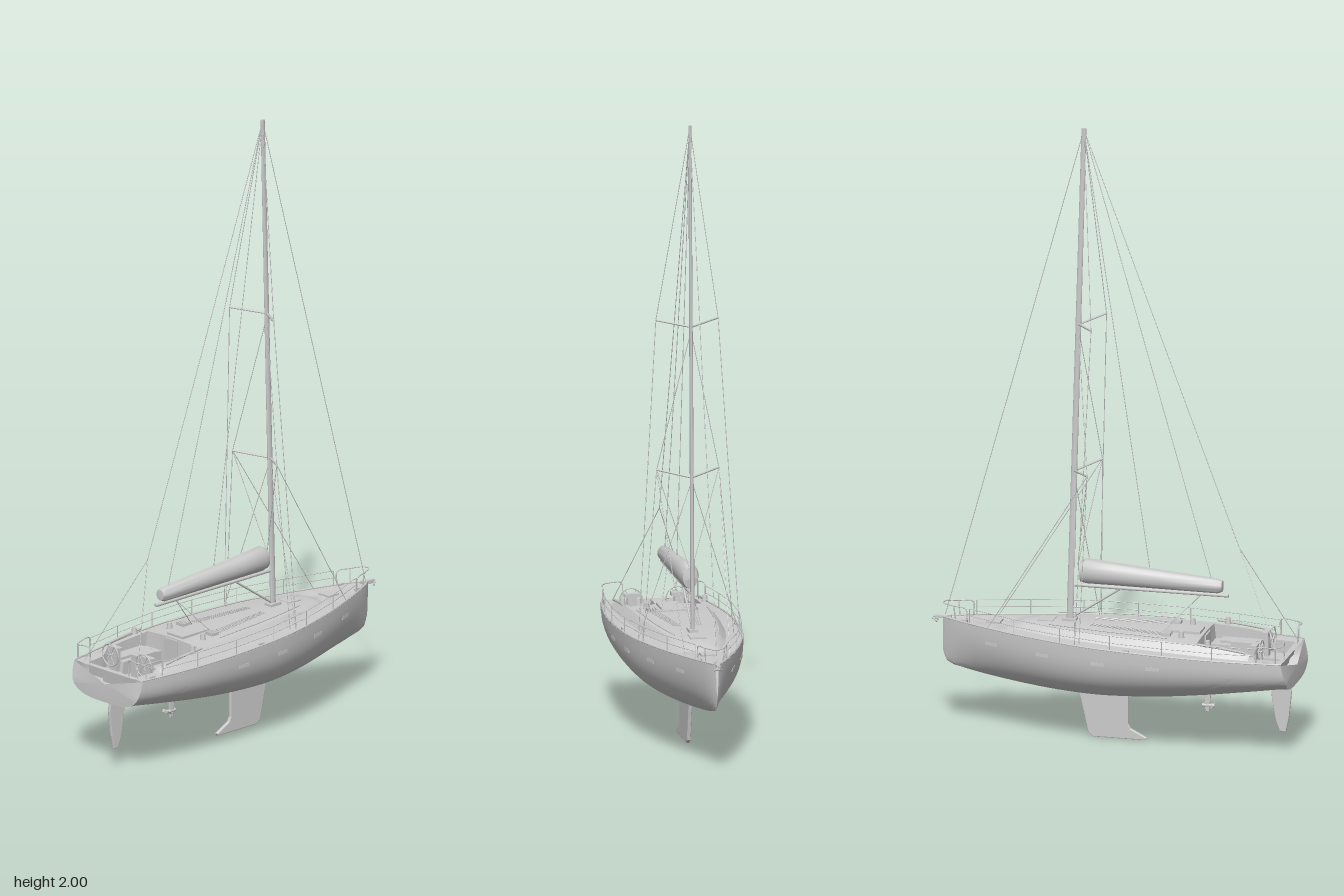
import * as THREE from 'three';
import { toCreasedNormals } from 'three/addons/utils/BufferGeometryUtils.js';

const grey = new THREE.MeshStandardMaterial({ color: 0xcccccc });
const sheet = new THREE.MeshStandardMaterial({ color: 0xcccccc, side: THREE.DoubleSide });
const V = (x, y, z) => new THREE.Vector3(x, y, z);
const lerp = THREE.MathUtils.lerp;

// Sample column c of rows sorted by z (column 0), smoothly or linearly
function sample(rows, c, z, smooth = true) {
  let i = 0;
  while (i < rows.length - 2 && rows[i + 1][0] <= z) i++;
  const slope = k => {
    const a = rows[Math.max(k - 1, 0)], b = rows[Math.min(k + 1, rows.length - 1)];
    return (b[c] - a[c]) / (b[0] - a[0]);
  };
  const a = rows[i], b = rows[i + 1], h = b[0] - a[0];
  const t = THREE.MathUtils.clamp((z - a[0]) / h, 0, 1);
  if (!smooth) return lerp(a[c], b[c], t);
  const t2 = t * t, t3 = t2 * t;
  return (2 * t3 - 3 * t2 + 1) * a[c] + (t3 - 2 * t2 + t) * h * slope(i)
    + (3 * t2 - 2 * t3) * b[c] + (t3 - t2) * h * slope(i + 1);
}

// Skin a list of equal-length cross-sections
function loft(sections, crease = 0.6) {
  const n = sections[0].length, idx = [];
  for (let i = 0; i < sections.length - 1; i++)
    for (let j = 0; j < n - 1; j++) {
      const a = i * n + j, b = a + n;
      idx.push(a, b, b + 1, a, b + 1, a + 1);
    }
  const g = new THREE.BufferGeometry().setFromPoints(sections.flat());
  g.setIndex(idx);
  return toCreasedNormals(g, crease);
}

// Hull lines: z, half beam, sheer height, keel height, section exponents p and q
const LINES = [
  [-0.558, 0.004, 0.357, 0.25, 1.5, 2], [-0.545, 0.014, 0.357, 0.215, 1.4, 2],
  [-0.5, 0.038, 0.356, 0.198, 1.4, 2], [-0.4, 0.08, 0.353, 0.177, 1.5, 2.2],
  [-0.3, 0.117, 0.35, 0.163, 1.7, 2.4], [-0.2, 0.148, 0.348, 0.154, 1.85, 2.6],
  [-0.1, 0.172, 0.345, 0.15, 2, 2.7], [0, 0.187, 0.342, 0.15, 2, 2.8],
  [0.15, 0.196, 0.338, 0.159, 2, 2.8], [0.3, 0.193, 0.333, 0.178, 2.2, 2.8],
  [0.45, 0.177, 0.328, 0.203, 2.6, 3], [0.577, 0.155, 0.325, 0.225, 3.2, 3.4]];
const line = (c, z) => sample(LINES, c, z);
const sheer = z => line(2, z);
const hullX = (z, y) => {
  const d = (sheer(z) - y) / (sheer(z) - line(3, z));
  return line(1, z) * Math.pow(1 - Math.pow(d, line(5, z)), 1 / line(4, z));
};

// Deck: z, cabin foot, cabin top, rise, cockpit kind (0 closed, 1 seats, 2 open sole)
const DECK = [
  [-0.558, 0.002, 0.001, 0, 0], [-0.45, 0.02, 0.015, 0, 0], [-0.34, 0.035, 0.03, 0, 0],
  [-0.325, 0.045, 0.03, 0.004, 0], [-0.29, 0.065, 0.045, 0.016, 0], [-0.22, 0.09, 0.066, 0.022, 0],
  [-0.1, 0.117, 0.094, 0.027, 0], [0, 0.132, 0.108, 0.029, 0], [0.15, 0.145, 0.12, 0.031, 0],
  [0.295, 0.15, 0.126, 0.031, 0], [0.3, 0.15, 0.126, 0.031, 1], [0.4, 0.15, 0.13, 0.025, 1],
  [0.465, 0.147, 0.13, 0.018, 1], [0.47, 0.147, 0.13, 0.018, 2], [0.49, 0.14, 0.125, 0, 2],
  [0.555, 0.135, 0.12, 0, 2], [0.56, 0.135, 0.12, 0, 0], [0.577, 0.13, 0.11, 0, 0]];
const deckCol = (c, z) => sample(DECK, c, z, false);
const roofY = z => sheer(z) + deckCol(3, z) + 0.004;

function deckSection(z) {
  const hb = line(1, z), yd = sheer(z), f = deckCol(1, z), t = deckCol(2, z), top = yd + deckCol(3, z);
  const kind = DECK.filter(r => r[0] <= z + 1e-9).pop()[4];
  const cam = z < 0.5 ? Math.min(0.006, t * 0.1) : 0, seat = kind === 1 ? 0.318 : 0.285;
  const half = [[hb, yd], [f, yd + 0.002], [t, top]].concat(kind
    ? [[t - 0.012, top], [t - 0.012, seat], [0.045, seat], [0.045, 0.275], [0, 0.275]]
    : [[t * 0.9, top + cam * 0.2], [t * 0.9, top + cam * 0.2], [t * 0.4, top + cam * 0.8],
      [t * 0.4, top + cam * 0.8], [0, top + cam]]);
  return [...half.map(([x, y]) => V(-x, y, z)), ...half.slice(0, -1).reverse().map(([x, y]) => V(x, y, z))];
}

function hullSection(z) {
  const hb = line(1, z), yd = sheer(z), D = yd - line(3, z), p = line(4, z), q = line(5, z), pts = [];
  for (let j = 0; j <= 40; j++) {
    const a = Math.PI * j / 40, c = Math.cos(a), d = Math.pow(Math.abs(Math.sin(a)), 2 / q);
    const rake = z > 0.576 ? 0.015 * Math.min(1, d * 1.6) : 0;
    pts.push(V(Math.sign(c) * hb * Math.pow(Math.abs(c), 2 / p), yd - D * (j % 40 ? d : 0), z + rake));
  }
  return pts;
}

export function createModel() {
  const boat = new THREE.Group();
  boat.name = 'sailingYacht';
  const add = (name, geo, mat = grey) => {
    const m = new THREE.Mesh(geo, mat);
    m.name = name;
    boat.add(m);
    return m;
  };
  const box = (name, w, h, d, x, y, z) => {
    const m = add(name, new THREE.BoxGeometry(w, h, d));
    m.position.set(x, y, z);
    return m;
  };
  const rod = (name, a, b, r = 0.0012, sides = 6) => {
    const m = add(name, new THREE.CylinderGeometry(r, r, a.distanceTo(b), sides));
    m.position.lerpVectors(a, b, 0.5);
    m.quaternion.setFromUnitVectors(V(0, 1, 0), b.clone().sub(a).normalize());
    return m;
  };
  const wire = (name, ...pts) => pts.slice(1).forEach((p, i) => rod(name, pts[i], p));
  const pipe = (name, pts, r = 0.002) => add(name, new THREE.TubeGeometry(
    new THREE.CatmullRomCurve3(pts, false, 'centripetal'), pts.length * 6, r, 6));

  // Hull, transom and deck share the same stations
  const zs = [...DECK.map(r => r[0]), -0.552, -0.545];
  for (let i = 1; i < 48; i++) zs.push(-0.545 + i * 0.0233);
  const stations = zs.filter(z => z <= 0.577).sort((a, b) => a - b);
  add('hull', loft(stations.map(hullSection), 0.9), sheet);
  add('deckAndCockpit', loft(stations.map(deckSection)), sheet);
  const stern = hullSection(0.577);
  add('transom', loft([stern, stern.map(() => V(0, 0.285, 0.593))], 0.9), sheet);

  // Fins below the waterline, drawn as (z, y) outlines
  const fin = (name, pts, thick) => {
    const shape = new THREE.Shape(pts.map(([z, y]) => new THREE.Vector2(-z, y)));
    const g = new THREE.ExtrudeGeometry(shape, { depth: thick, bevelSize: 0.003, bevelOffset: -0.003,
      bevelThickness: 0.003, bevelSegments: 2 });
    add(name, g.translate(0, 0, -thick / 2).rotateY(Math.PI / 2));
  };
  fin('keel', [[0.045, 0.175], [0.045, 0.05], [0.052, 0.035], [0.105, 0.008], [0.1, 0], [-0.07, 0],
    [-0.085, 0.012], [-0.1, 0.08], [-0.112, 0.13], [-0.13, 0.17]], 0.006);
  fin('rudder', [[0.57, 0.24], [0.575, 0.19], [0.567, 0.11], [0.557, 0.062], [0.537, 0.062],
    [0.523, 0.1], [0.511, 0.17], [0.508, 0.24]], 0.005);
  fin('driveLeg', [[0.315, 0.2], [0.308, 0.108], [0.295, 0.108], [0.285, 0.2]], 0.003);
  rod('propellerHub', V(0, 0.13, 0.285), V(0, 0.13, 0.325), 0.006, 12);
  for (const s of [-1, 1]) box('propellerBlade', 0.018, 0.009, 0.002, s * 0.012, 0.13, 0.318).rotation.x = s * 0.5;

  // Mast, boom, sail cover and vang
  const mast = add('mast', new THREE.CylinderGeometry(0.008, 0.011, 1.632, 16));
  mast.scale.x = 0.6;
  mast.position.set(0, 1.184, -0.123);
  mast.rotation.x = 0.028;
  rod('boom', V(0, 0.495, -0.13), V(0, 0.495, 0.37), 0.006, 10);
  const cover = [[0.352, 0.525, 0.001, 0.001], [0.35, 0.525, 0.018, 0.016], [0.335, 0.525, 0.024, 0.02],
    [0.15, 0.533, 0.031, 0.025], [0, 0.54, 0.037, 0.029], [-0.09, 0.544, 0.041, 0.03],
    [-0.11, 0.541, 0.034, 0.024], [-0.116, 0.54, 0.001, 0.001]].reverse();
  add('sailCover', loft(cover.map(([z, y, ry, rx]) => Array.from({ length: 21 }, (_, j) => {
    const a = -j * Math.PI / 10;
    return V(rx * Math.cos(a), y + ry * Math.sin(a), z);
  })), 0.9), sheet);
  rod('boomVang', V(0, 0.49, 0.015), V(0, 0.385, -0.142), 0.0035, 8);

  // Standing and running rigging
  const head = V(0, 1.995, -0.1);
  wire('forestay', head, V(0, 0.357, -0.553));
  wire('backstay', head, V(0, 0.655, 0.405));
  wire('toppingLift', head, V(0, 0.545, 0.315));
  wire('lazyLine', head, V(0, 0.56, 0.115));
  for (const s of [-1, 1]) {
    const up = V(s * 0.1, 1.365, -0.052), low = V(s * 0.1, 0.885, -0.065), plate = V(s * 0.163, 0.347, -0.09);
    rod('upperSpreader', V(0, 1.353, -0.118), up, 0.004, 8).scale.x = 0.8;
    rod('lowerSpreader', V(0, 0.87, -0.132), low, 0.004, 8).scale.x = 0.8;
    wire('capShroud', head, up, plate);
    wire('middleShroud', V(0, 1.34, -0.118), low, V(s * 0.145, 0.347, -0.08));
    wire('lowerShroud', V(0, 0.86, -0.132), plate);
    wire('flagLine', low, V(s * 0.072, 0.353, -0.395));
    wire('innerLine', low, V(0, 0.56, -0.12));
    wire('backstayLeg', V(0, 0.655, 0.405), V(s * 0.12, 0.325, 0.568));
    wire('mainsheet', V(0, 0.492, 0.28), V(s * 0.04, 0.375, 0.17));
  }

  // Fittings mirrored to both sides
  for (const s of [-1, 1]) {
    const edge = (z, h = 0, inset = 0.005) => V(s * (line(1, z) - inset), sheer(z) + h, z);
    pipe('toeRail', LINES.map(r => edge(r[0], 0.002, 0.003)), 0.003);
    const posts = [-0.46, -0.3, -0.14, 0.03, 0.2, 0.36, 0.5];
    posts.forEach(z => rod('stanchion', edge(z), edge(z, 0.05), 0.0015));
    for (const h of [0.027, 0.05]) wire('lifeline', ...posts.map(z => edge(z, h)));
    pipe('sternRail', [edge(0.5), edge(0.5, 0.052), edge(0.555, 0.054), V(s * 0.135, 0.38, 0.574),
      V(s * 0.09, 0.38, 0.574), V(s * 0.088, 0.326, 0.572)]);
    rod('sternPost', edge(0.56), edge(0.56, 0.053), 0.002);

    // Cabin side window follows the slope of the coachroof
    const strip = [-0.22, -0.15, -0.1, 0, 0.1, 0.2, 0.27].map((z, i) => [0.25, 0.75].map(k => {
      const t = i === 0 || i === 6 ? 0.5 : k;
      return V(s * (lerp(deckCol(1, z), deckCol(2, z), t) + 0.001), sheer(z) + deckCol(3, z) * t + 0.003, z);
    }));
    add('cabinWindow', loft(strip), sheet);
    pipe('grabRail', [-0.2, -0.1, 0, 0.1, 0.2].map(z => V(s * deckCol(2, z) * 0.93, roofY(z) + 0.004, z)));
    pipe('coamingRail', [0.3, 0.38, 0.46].map(z => V(s * 0.137, roofY(z) + 0.002, z)), 0.004);
    for (const [z, y] of [[0.17, 0.295], [-0.01, 0.295], [-0.2, 0.3], [-0.38, 0.305]]) {
      const w = box('hullWindow', 0.003, 0.011, 0.045, s * hullX(z, y), y, z);
      w.rotation.y = Math.atan((hullX(z + 0.02, y) - hullX(z - 0.02, y)) / 0.04) * s;
    }

    // Control lines, clutches and winches
    for (let k = 0; k < 4; k++) {
      const a = V(s * (0.024 + k * 0.006), roofY(-0.07) + 0.003, -0.07);
      const b = V(s * (0.052 + k * 0.009), roofY(0.2) + 0.002, 0.2);
      wire('controlLine', a, b);
      box('clutch', 0.006, 0.01, 0.03, b.x, b.y + 0.003, 0.185);
    }
    for (const [x, z] of [[0.075, 0.235], [0.132, 0.335]]) {
      const y = roofY(z) - 0.002, w = add('winch', new THREE.CylinderGeometry(0.007, 0.01, 0.022, 14));
      w.position.set(s * x, y + 0.01, z);
    }

    // Helm station with wheel
    box('helmPedestal', 0.03, 0.075, 0.018, s * 0.075, 0.32, 0.475);
    box('instrumentPanel', 0.05, 0.012, 0.02, s * 0.075, 0.36, 0.475);
    add('steeringWheel', new THREE.TorusGeometry(0.036, 0.002, 8, 32)).position.set(s * 0.075, 0.342, 0.495);
    rod('wheelHub', V(s * 0.075, 0.342, 0.48), V(s * 0.075, 0.342, 0.499), 0.004, 10);
    for (let k = 0; k < 3; k++) {
      const a = k * Math.PI / 3, d = V(Math.cos(a), Math.sin(a), 0).multiplyScalar(0.036), c = V(s * 0.075, 0.342, 0.495);
      rod('wheelSpoke', c.clone().sub(d), c.clone().add(d));
    }
    box('seatCushion', 0.045, 0.008, 0.13, s * 0.088, 0.322, 0.39);
    for (const z of [-0.48, 0.08, 0.53]) box('cleat', 0.004, 0.006, 0.022, s * (line(1, z) - 0.012), sheer(z) + 0.004, z);
  }

  // Centreline deck gear
  box('companionwayHatch', 0.07, 0.008, 0.12, 0, roofY(0.22) + 0.004, 0.225);
  box('companionwayDoor', 0.06, 0.075, 0.005, 0, 0.33, 0.302);
  box('sheetTrack', 0.12, 0.006, 0.01, 0, roofY(0.17) + 0.003, 0.165);
  box('cockpitTable', 0.035, 0.075, 0.08, 0, 0.312, 0.42);
  box('roofHatch', 0.05, 0.006, 0.05, 0, roofY(-0.22) + 0.001, -0.22);
  box('foredeckHatch', 0.045, 0.006, 0.045, 0, sheer(-0.39) + 0.004, -0.39);
  box('mastStep', 0.03, 0.012, 0.045, 0, roofY(-0.146) + 0.004, -0.146);

  // Bow rail, roller and anchor
  const bow = [[0.045, 0, -0.47], [0.046, 0.046, -0.472], [0.032, 0.05, -0.515], [0.012, 0.052, -0.553]];
  pipe('bowRail', [...bow, ...bow.map(([x, y, z]) => [-x, y, z]).reverse()].map(([x, y, z]) => V(x, 0.355 + y, z)));
  for (const s of [-1, 1]) rod('bowRailPost', V(s * 0.028, 0.356, -0.51), V(s * 0.032, 0.405, -0.515), 0.002);
  box('bowRoller', 0.012, 0.008, 0.05, 0, 0.358, -0.555);
  rod('anchorShank', V(0, 0.364, -0.53), V(0, 0.358, -0.59), 0.003, 8);
  for (const s of [-1, 1]) rod('anchorFluke', V(0, 0.352, -0.592), V(s * 0.013, 0.345, -0.575), 0.003, 6);
  return boat;
}
